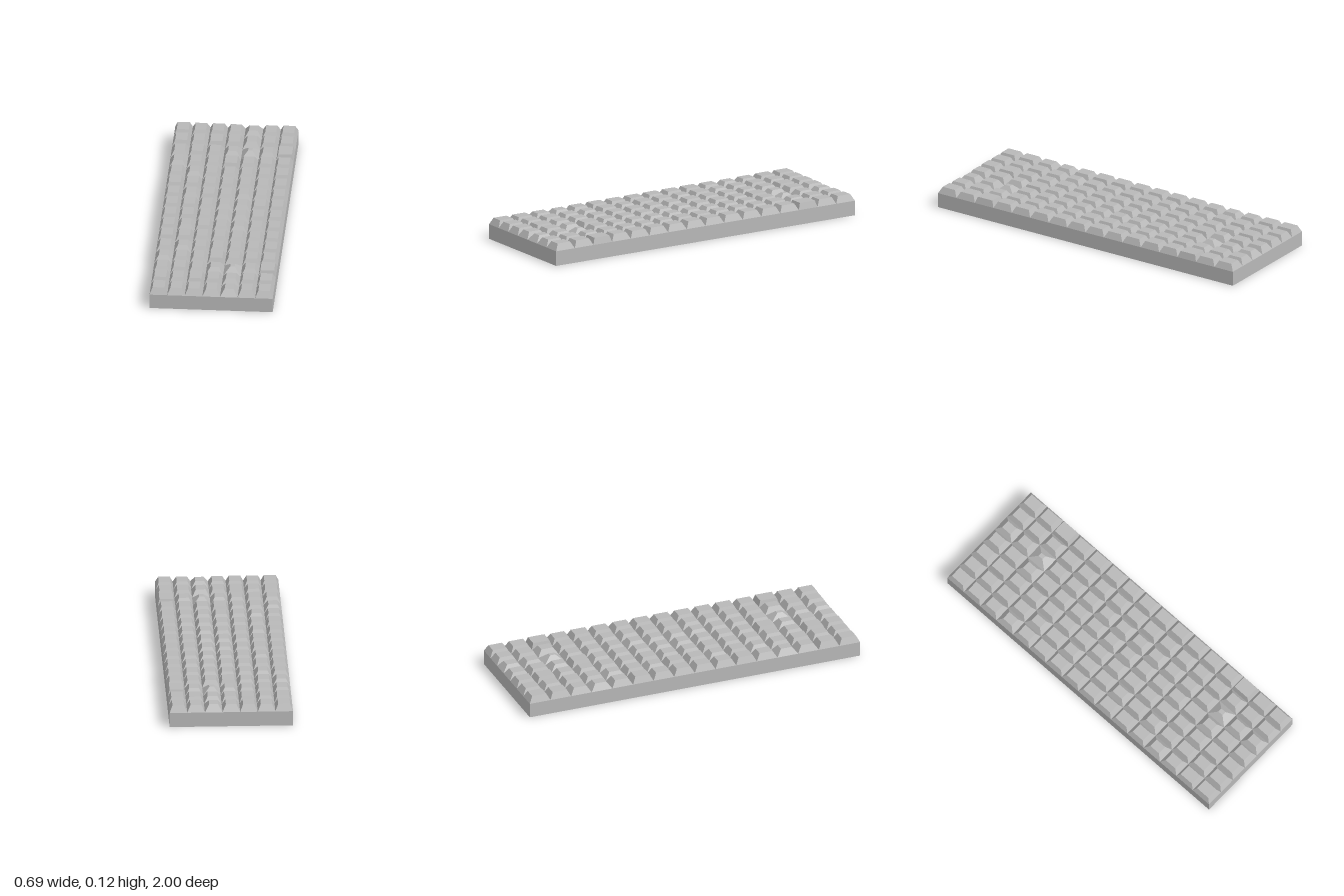
import * as THREE from 'three';

const WIDTH = 0.694, LENGTH = 2, BASE_H = 0.085, STONE_H = 0.038;
const COLS = 7, ROWS = 16;

// Top size of each stone relative to its cell; half of the rows, mirrored in z
const TOP_SCALE = [
  [0.68, 0.64, 0.65, 0.60, 0.50, 0.62, 0.66],
  [0.68, 0.62, 0.70, 0.65, 0.55, 0.65, 0.68],
  [0.60, 0.66, 0.60, 0.50, 0.25, 0.55, 0.79],
  [0.52, 0.62, 0.60, 0.70, 0.62, 0.65, 0.66],
  [0.62, 0.52, 0.62, 0.60, 0.60, 0.62, 0.68],
  [0.68, 0.65, 0.62, 0.62, 0.60, 0.60, 0.66],
  [0.65, 0.56, 0.65, 0.60, 0.55, 0.60, 0.65],
  [0.65, 0.65, 0.60, 0.56, 0.56, 0.65, 0.66],
];

// Box whose top face is shrunk towards its centre, without the hidden underside
function stoneGeometry(w, h, d, scale) {
  const geo = new THREE.BoxGeometry(w, h, d);
  geo.translate(0, h / 2, 0);
  const p = geo.attributes.position;
  for (let i = 0; i < p.count; i++) {
    if (p.getY(i) > h / 2) {
      p.setX(i, p.getX(i) * scale);
      p.setZ(i, p.getZ(i) * scale);
    }
  }
  const index = Array.from(geo.index.array);
  index.splice(18, 6);
  geo.setIndex(index);
  geo.clearGroups();
  geo.computeVertexNormals();
  return geo;
}

export function createModel() {
  const model = new THREE.Group();
  model.name = 'cobbledSlab';
  const stoneGrey = new THREE.MeshStandardMaterial({ color: 0xb8b8b8 });
  stoneGrey.name = 'stoneGrey';

  // Flat slab under the stones
  const base = new THREE.Mesh(new THREE.BoxGeometry(WIDTH, BASE_H, LENGTH), stoneGrey);
  base.name = 'baseSlab';
  base.position.y = BASE_H / 2;
  model.add(base);

  // Grid of bevelled paving stones
  const stones = new THREE.Group();
  stones.name = 'pavingStones';
  const w = WIDTH / COLS, d = LENGTH / ROWS;
  for (let r = 0; r < ROWS; r++) {
    for (let c = 0; c < COLS; c++) {
      const scale = TOP_SCALE[Math.min(r, ROWS - 1 - r)][c];
      const stone = new THREE.Mesh(stoneGeometry(w, STONE_H, d, scale), stoneGrey);
      stone.name = 'pavingStone';
      stone.position.set((c + 0.5) * w - WIDTH / 2, BASE_H, (r + 0.5) * d - LENGTH / 2);
      stones.add(stone);
    }
  }
  model.add(stones);
  return model;
}
